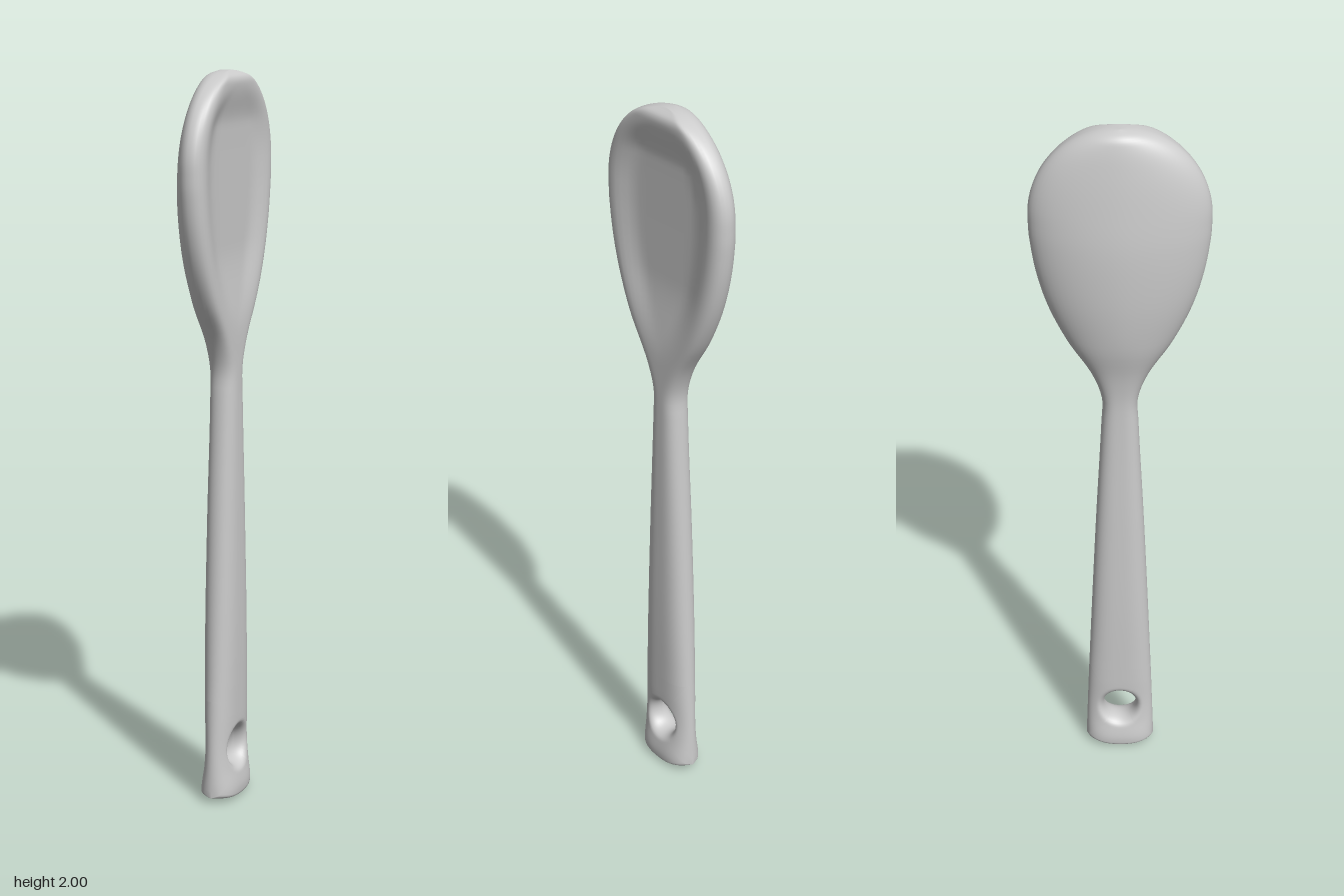
import * as THREE from 'three';
import { mergeVertices } from 'three/addons/utils/BufferGeometryUtils.js';

const { smoothstep, lerp, clamp } = THREE.MathUtils;
const MID = 0.018; // x of the widest outline
const HALF = 28; // segments across each face
const JOIN = 0.3; // height where the pierced end meets the handle
const HOLE = { y: 0.15, rz: 0.046, ry: 0.05 };

// Smooth curve through [y, value] pairs
function profile(pts) {
  const slope = (i) => {
    const a = pts[Math.max(i - 1, 0)], b = pts[Math.min(i + 1, pts.length - 1)];
    return (b[1] - a[1]) / (b[0] - a[0]);
  };
  return (y) => {
    let i = 0;
    while (i < pts.length - 2 && y > pts[i + 1][0]) i++;
    const [y0, v0] = pts[i], [y1, v1] = pts[i + 1];
    const d = y1 - y0, t = clamp((y - y0) / d, 0, 1);
    const t2 = t * t, t3 = t2 * t;
    return v0 * (2 * t3 - 3 * t2 + 1) + v1 * (3 * t2 - 2 * t3)
      + d * (slope(i) * (t3 - 2 * t2 + t) + slope(i + 1) * (t3 - t2));
  };
}

const sideWidth = profile([[0, 0.1], [0.03, 0.099], [0.3, 0.089], [0.8, 0.067], [1.15, 0.049], [1.22, 0.048],
  [1.3, 0.076], [1.4, 0.138], [1.5, 0.184], [1.6, 0.213], [1.7, 0.228], [1.76, 0.23]]);
const frontX = profile([[0, 0.067], [0.04, 0.07], [0.1, 0.062], [0.16, 0.058], [0.25, 0.06], [0.5, 0.062],
  [0.8, 0.06], [1.2, 0.056], [1.4, 0.055], [1.8, 0.056], [1.96, 0.057], [1.985, 0.052], [2, 0.03]]);
const backX = profile([[0, -0.032], [0.04, -0.034], [0.1, -0.024], [0.16, -0.02], [0.25, -0.023], [0.5, -0.027],
  [0.8, -0.025], [1.2, -0.02], [1.3, -0.031], [1.4, -0.055], [1.5, -0.068], [1.6, -0.073], [1.7, -0.072],
  [1.8, -0.063], [1.9, -0.05], [1.97, -0.036], [1.99, -0.024], [2, 0]]);

// Half width of the outline, ending in an elliptical tip
function width(y) {
  if (y <= 1.76) return sideWidth(y);
  return 0.23 * Math.sqrt(Math.max(0, 1 - ((y - 1.76) / 0.24) ** 2));
}

// Surface x on the front (+1) or back (-1); q runs 0 at the middle to 1 at the edge
function surfaceX(y, q, face) {
  q = Math.min(Math.abs(q), 1);
  const bowl = smoothstep(y, 1.2, 1.45);
  const power = lerp(3, face > 0 ? 13 : 1.8, bowl);
  const outer = face > 0 ? frontX(y) : backX(y);
  const x = MID + (outer - MID) * Math.sqrt(1 - q ** power);
  if (face < 0) return x;
  // Shallow dish inside the rim
  const dish = smoothstep(width(y) * (1 - q), 0.025, 0.12)
    * smoothstep(y, 1.3, 1.55) * (1 - smoothstep(y, 1.86, 1.975));
  return x - 0.02 * dish;
}

const round = (d, r) => (d >= r ? 1 : Math.sqrt(Math.max(0, 1 - (1 - d / r) ** 2)));

// Handle and bowl: closed rings stacked upward
function addShaft(pos, idx) {
  const ys = [];
  for (let i = 0; i < 14; i++) ys.push(JOIN + (0.85 * i) / 14);
  for (let i = 0; i <= 60; i++) ys.push(1.15 + 0.85 * Math.sin((i / 60) * Math.PI / 2));
  const n = HALF * 2;
  const base = pos.length / 3;
  ys.forEach((y, i) => {
    const w = width(y);
    for (let j = 0; j < n; j++) {
      const q = Math.cos((j / HALF) * Math.PI);
      pos.push(surfaceX(y, q, j <= HALF ? 1 : -1), y, w * q);
      if (i === ys.length - 1) continue;
      const a = base + i * n + j, b = base + i * n + ((j + 1) % n);
      idx.push(a, b, b + n, a, b + n, a + n);
    }
  });
}

// Pierced end: front and back sheets spreading from the hole to the outline
function addHangingEnd(pos, idx) {
  const bottomY = (z) => 0.018 * (z / 0.1) ** 2 + 0.003;
  const outline = [];
  for (let j = 0; j <= HALF; j++) outline.push([JOIN, width(JOIN) * Math.cos((j / HALF) * Math.PI)]);
  const low = bottomY(0.1), sideSteps = 14, lowSteps = 20;
  const sideY = (k) => JOIN + (low - JOIN) * (k / sideSteps);
  for (let k = 1; k <= sideSteps; k++) outline.push([sideY(k), -width(sideY(k))]);
  for (let k = 1; k < lowSteps; k++) {
    const z = -width(low) * Math.cos((k / lowSteps) * Math.PI);
    outline.push([bottomY(z), z]);
  }
  for (let k = sideSteps; k > 0; k--) outline.push([sideY(k), width(sideY(k))]);

  const m = outline.length, rows = 24;
  for (const face of [1, -1]) {
    const base = pos.length / 3;
    for (let k = 0; k <= rows; k++) {
      const s = 0.5 - 0.5 * Math.cos((k / rows) * Math.PI);
      outline.forEach(([oy, oz], j) => {
        const angle = Math.atan2(oy - HOLE.y, oz);
        const hy = HOLE.y + HOLE.ry * Math.sin(angle), hz = HOLE.rz * Math.cos(angle);
        const y = hy + (oy - hy) * s, z = hz + (oz - hz) * s;
        // Rounded lip at the hole and small rounding at the foot
        const lip = round(Math.hypot(y - hy, z - hz), 0.024);
        const foot = round(y - bottomY(z), 0.012);
        const x = MID + (surfaceX(y, z / width(y), face) - MID) * lip * foot;
        pos.push(x, y, z);
        if (k === rows) return;
        const a = base + k * m + j, d = base + k * m + ((j + 1) % m);
        if (face > 0) idx.push(a, d, d + m, a, d + m, a + m);
        else idx.push(a, d + m, d, a, a + m, d + m);
      });
    }
  }
}

export function createModel() {
  const pos = [], idx = [];
  addHangingEnd(pos, idx);
  addShaft(pos, idx);
  let geometry = new THREE.BufferGeometry();
  geometry.setAttribute('position', new THREE.Float32BufferAttribute(pos, 3));
  geometry.setIndex(idx);
  geometry = mergeVertices(geometry, 1e-4);
  geometry.computeVertexNormals();

  const spoon = new THREE.Mesh(geometry, new THREE.MeshStandardMaterial({ color: 0xcccccc }));
  spoon.name = 'spoon';
  const group = new THREE.Group();
  group.name = 'cookingSpoon';
  group.add(spoon);
  return group;
}
